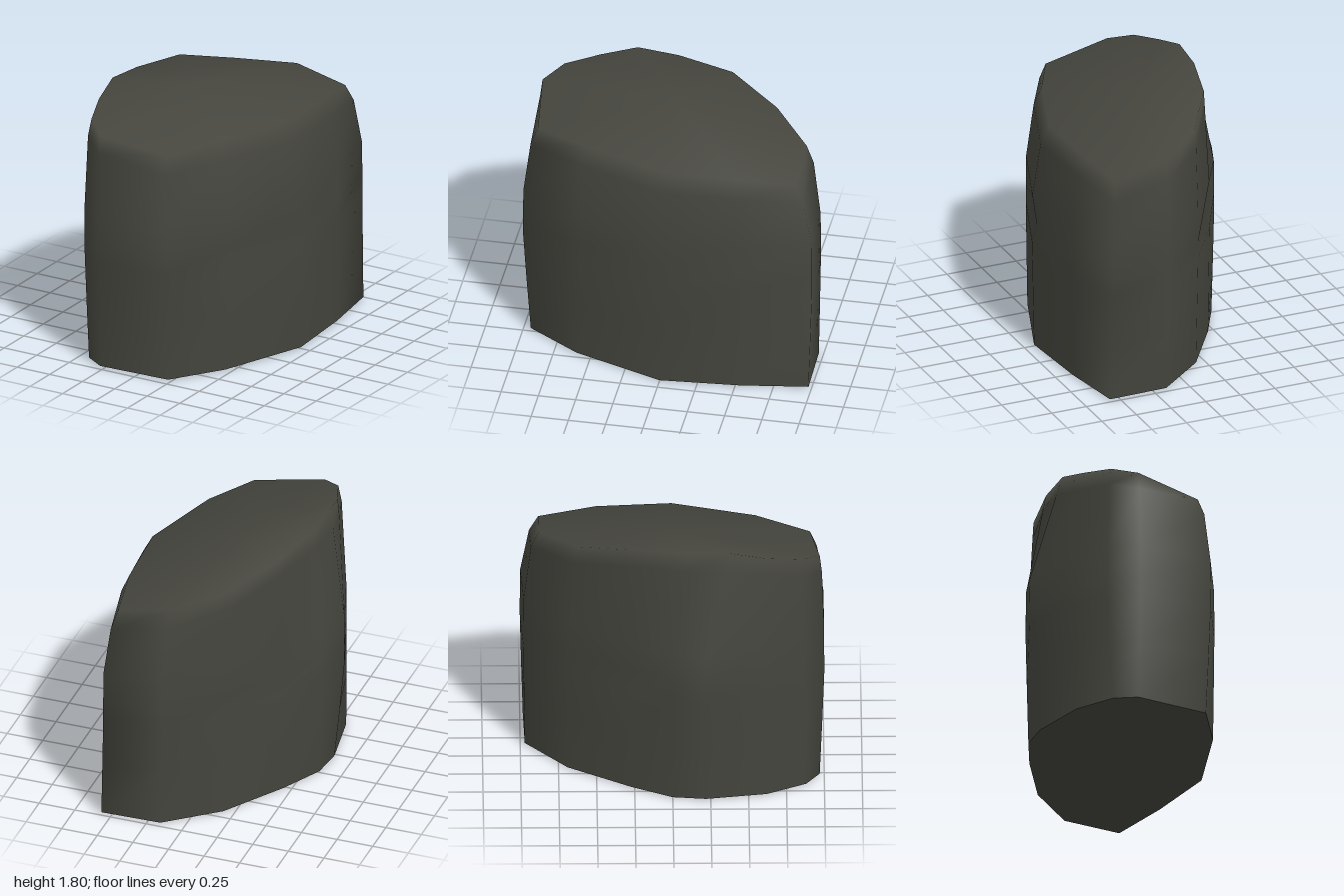
import * as THREE from 'three';

// Horizontal outlines [x, z], running from the back corner round +x to the front and back along -x
const FOOT = [[.57, -.98], [.64, -.53], [.68, 0], [.46, .6], [.23, .95], [-.28, .97], [-.42, .88],
  [-.56, .62], [-.625, .22], [-.6, 0], [-.45, -.28], [-.18, -.69], [.16, -.97]];
const GIRTH = [[.55, -1], [.65, -.53], [.695, 0], [.48, .58], [.24, 1], [-.28, 1], [-.46, .87],
  [-.57, .6], [-.7, .21], [-.62, 0], [-.46, -.28], [-.2, -.68], [.14, -.98]];
// Sloping upper rim [x, z, y]
const RIM = [[.49, -.88, 1.53], [.55, -.5, 1.57], [.57, 0, 1.58], [.38, .55, 1.59], [.19, .91, 1.57],
  [-.28, .97, 1.64], [-.42, .85, 1.69], [-.5, .62, 1.74], [-.54, .38, 1.8], [-.52, .1, 1.785],
  [-.42, -.28, 1.765], [-.2, -.62, 1.67], [.12, -.88, 1.61]];
const N = FOOT.length;
const lerp = THREE.MathUtils.lerp;

// Ring between two outlines at a fixed height
const blend = (a, b, t, y) => a.map((p, i) => [lerp(p[0], b[i][0], t), y, lerp(p[1], b[i][1], t)]);

function makeGeometry(points, index) {
  const g = new THREE.BufferGeometry();
  g.setAttribute('position', new THREE.Float32BufferAttribute(points.flat(), 3));
  g.setIndex(index);
  g.computeVertexNormals();
  return g;
}

export function createModel() {
  const group = new THREE.Group();
  group.name = 'boulder';
  const stone = new THREE.MeshStandardMaterial({ color: 0x45453e });
  stone.name = 'dark stone';

  // Shallow dents on two opposite sides
  const dent = blend(GIRTH, GIRTH, 0, .88);
  dent[2][0] = .66;
  dent[10][0] += .03;
  dent[10][2] += .02;

  // Rounded shoulder just below the rim, steeper on the tall side
  const shoulder = GIRTH.map((p, i) => {
    const t = i >= 7 && i <= 10 ? .82 : .5;
    return [lerp(p[0], RIM[i][0], t), RIM[i][2] - .12, lerp(p[1], RIM[i][1], t)];
  });

  const base = blend(FOOT, GIRTH, 0, .01);
  const rings = [base, blend(FOOT, GIRTH, .55, .4), blend(FOOT, GIRTH, 1, .76), dent,
    blend(GIRTH, RIM, .02, 1.1), shoulder, RIM.map(([x, z, y]) => [x, y, z])];

  // Sides joined smoothly to the sloping top
  const points = rings.flat();
  const index = [];
  for (let r = 0; r < rings.length - 1; r++) {
    for (let i = 0; i < N; i++) {
      const a = r * N + i, b = r * N + (i + 1) % N;
      index.push(a, a + N, b, b, a + N, b + N);
    }
  }
  const last = (rings.length - 1) * N;
  points.push([-.08, 1.73, .02]);
  for (let i = 0; i < N; i++) index.push(last + i, points.length - 1, last + (i + 1) % N);
  const body = new THREE.Mesh(makeGeometry(points, index), stone);
  body.name = 'boulderBody';

  // Flat underside with a sharp edge
  const under = [];
  for (let i = 0; i < N; i++) under.push(N, i, (i + 1) % N);
  const underside = new THREE.Mesh(makeGeometry([...base, [0, 0, 0]], under), stone);
  underside.name = 'underside';

  group.add(body, underside);
  return group;
}
